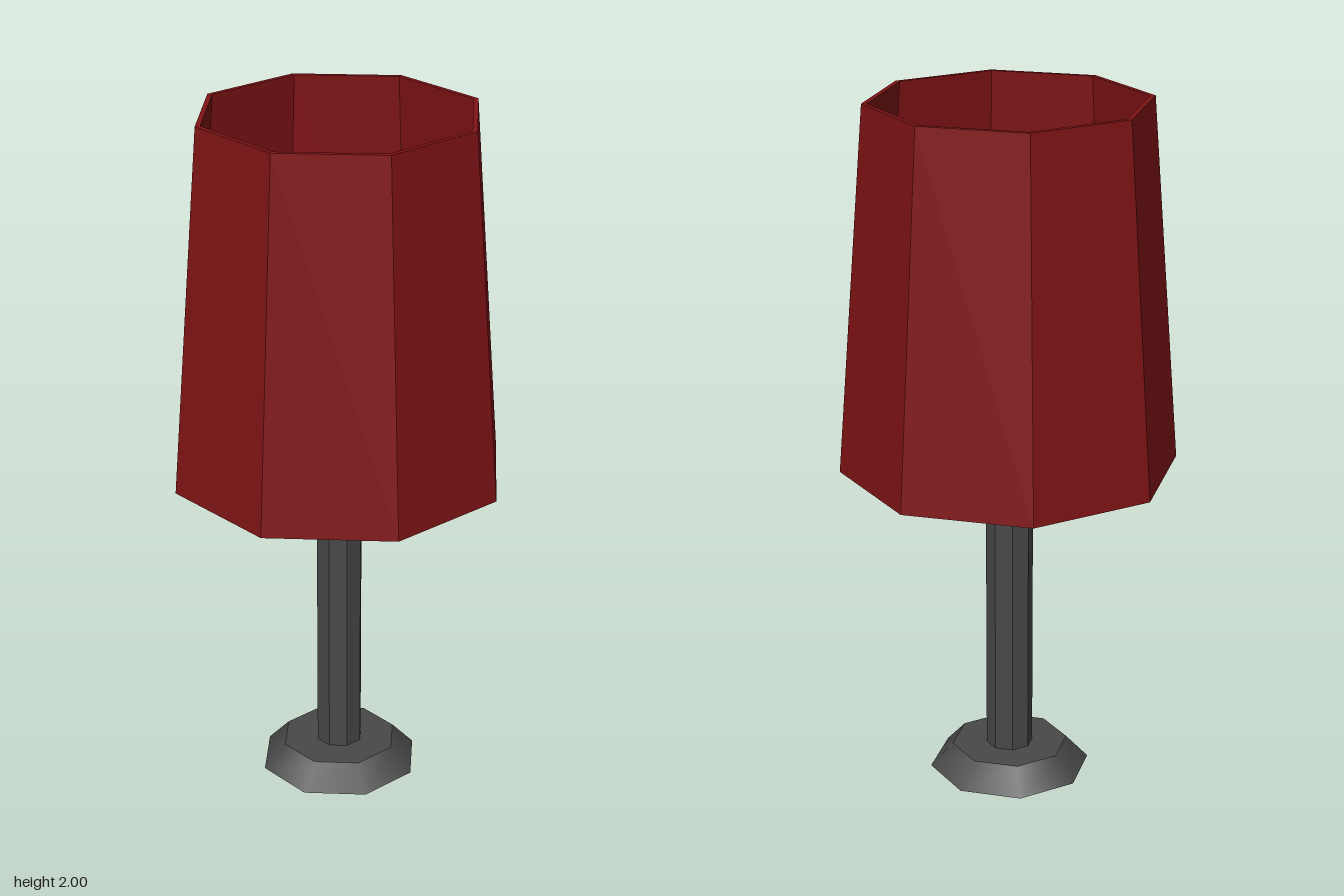
import * as THREE from 'three';

const SIDES = 8;

const paint = (color, flatShading = true) => {
  const material = new THREE.MeshStandardMaterial({ flatShading });
  material.color.set(color);
  return material;
};

// Octagonal turned part from a [radius, height] profile, corners on the axes
function turned(name, profile, material) {
  const points = profile.map(([r, y]) => new THREE.Vector2(r, y));
  const mesh = new THREE.Mesh(new THREE.LatheGeometry(points, SIDES), material);
  mesh.name = name;
  return mesh;
}

// Octagonal cylinder standing between two heights
function column(name, rTop, rBottom, y0, y1, material) {
  const geometry = new THREE.CylinderGeometry(rTop, rBottom, y1 - y0, SIDES);
  geometry.translate(0, (y0 + y1) / 2, 0);
  const mesh = new THREE.Mesh(geometry, material);
  mesh.name = name;
  return mesh;
}

export function createModel() {
  const lamp = new THREE.Group();
  lamp.name = 'tableLamp';

  // Bevelled foot and slim pole
  lamp.add(column('base', 0.17, 0.235, 0, 0.07, paint(0x484848, false)));
  lamp.add(column('pole', 0.068, 0.068, 0.06, 0.98, paint(0x484848)));

  // Tapered shade: closed underneath, thin walled and open at the top
  lamp.add(turned('shade', [
    [0, 0.95], [0.483, 0.95], [0.4, 2], [0.385, 2], [0.466, 0.97], [0, 0.97],
  ], paint(0x7f1315)));

  // Faceted bulb, set slightly off centre
  const bulb = turned('bulb', [
    [0.06, 0.97], [0.075, 1.05], [0.124, 1.17], [0.112, 1.25], [0.055, 1.3], [0, 1.305],
  ], paint(0x5a7884));
  bulb.position.set(-0.003, 0, -0.01);
  lamp.add(bulb);

  return lamp;
}
